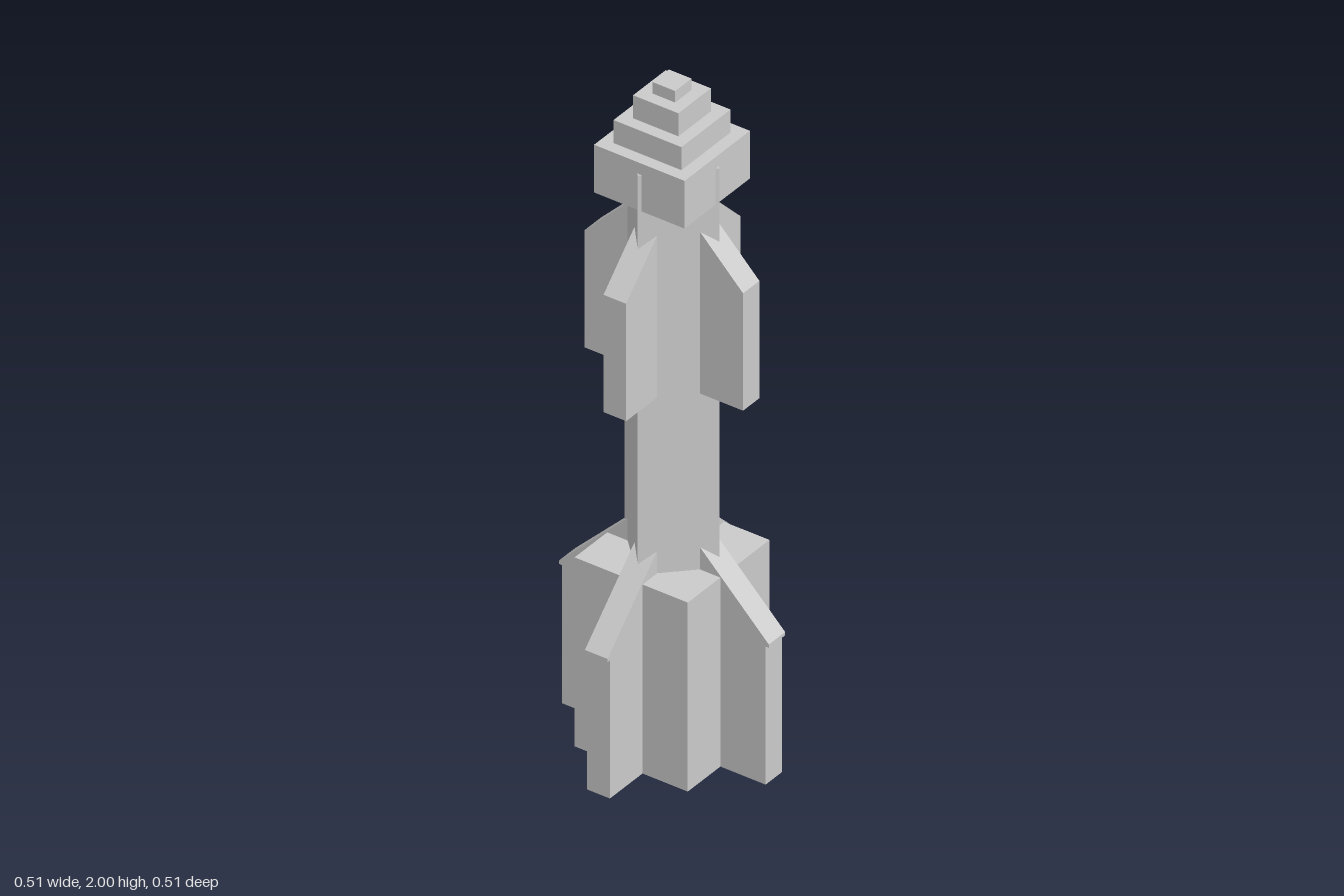
import * as THREE from 'three';

const material = new THREE.MeshStandardMaterial({ color: 0xcccccc, flatShading: true });

function addMesh(parent, name, geometry) {
  const mesh = new THREE.Mesh(geometry, material);
  mesh.name = name;
  parent.add(mesh);
  return mesh;
}

// Square block with its corners on the x and z axes
function addDiamond(parent, name, radius, y0, y1) {
  const geometry = new THREE.CylinderGeometry(radius, radius, y1 - y0, 4);
  addMesh(parent, name, geometry).position.y = (y0 + y1) / 2;
}

// Four diagonal fins from a profile of [distance from axis, height]
function addFins(parent, name, profile) {
  const thickness = 0.0707;
  const shape = new THREE.Shape(profile.map(([d, y]) => new THREE.Vector2(d, y)));
  const geometry = new THREE.ExtrudeGeometry(shape, { depth: thickness, bevelEnabled: false });
  geometry.translate(0, 0, -thickness / 2);
  const fins = new THREE.Group();
  fins.name = name + 's';
  for (let i = 0; i < 4; i++) {
    addMesh(fins, name, geometry).rotation.y = Math.PI / 4 + (i * Math.PI) / 2;
  }
  parent.add(fins);
}

export function createModel() {
  const model = new THREE.Group();
  model.name = 'rocket';

  // Square column; its corners just break through the nose block
  addMesh(model, 'body', new THREE.BoxGeometry(0.21, 1.78, 0.21)).position.y = 0.9;

  // Tail block
  addDiamond(model, 'tailBlock', 0.25, 0, 0.575);

  // Stepped nose
  const steps = [[0.2, 1.68, 1.825], [0.15, 1.825, 1.895], [0.1, 1.895, 1.965], [0.05, 1.965, 2]];
  steps.forEach(([r, y0, y1], i) => addDiamond(model, 'noseStep' + (i + 1), r, y0, y1));

  // Tail fins, with a small lip where the slope overhangs the outer edge
  addFins(model, 'tailFin', [
    [0.08, 0], [0.318, 0], [0.318, 0.42], [0.328, 0.42], [0.328, 0.43], [0.08, 0.675],
  ]);

  // Upper fins
  addFins(model, 'upperFin', [[0.08, 1.11], [0.2475, 1.11], [0.2475, 1.467], [0.08, 1.635]]);

  return model;
}
